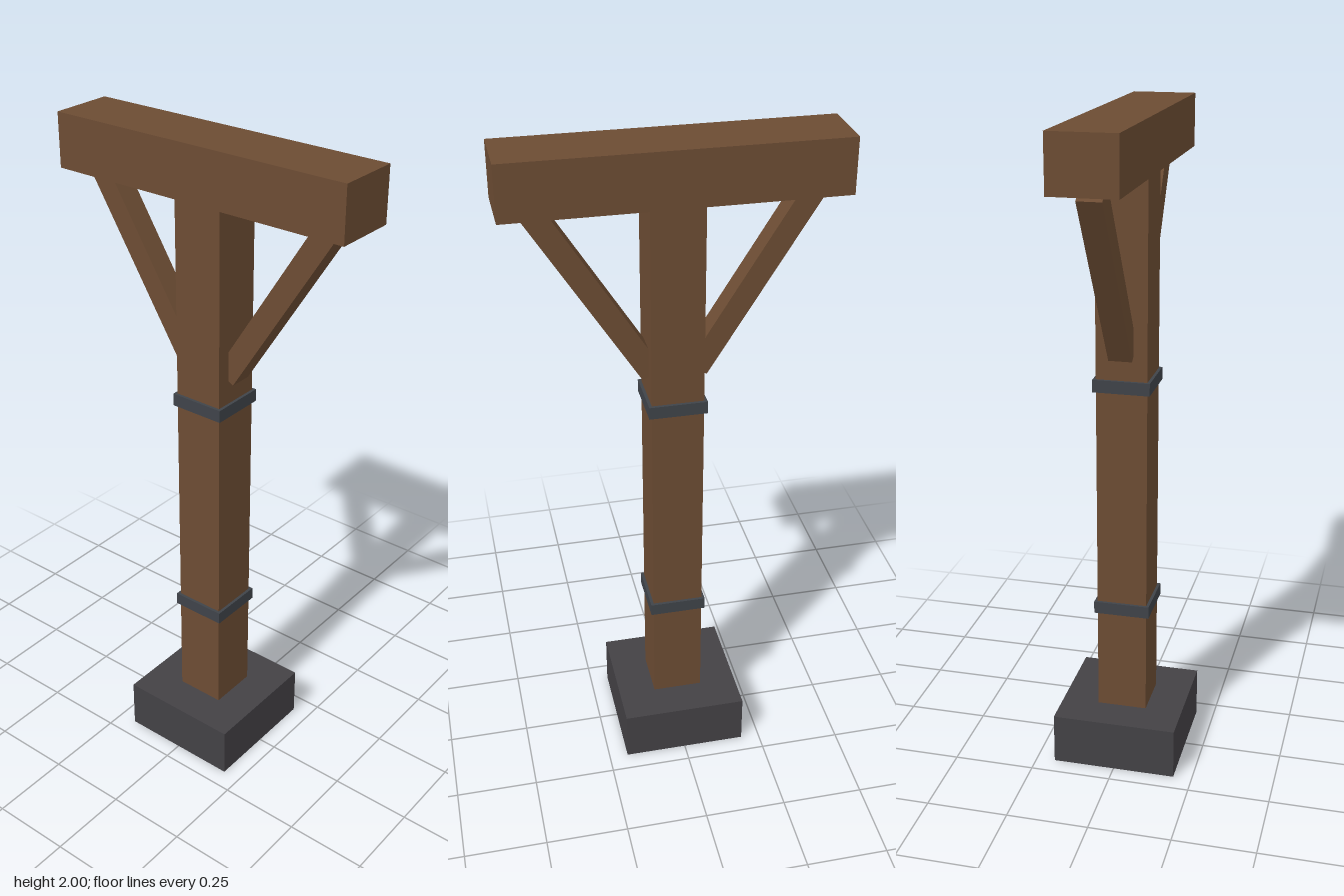
import * as THREE from 'three';

export function createModel() {
  const group = new THREE.Group();
  const wood = new THREE.MeshStandardMaterial({ color: 0x6c4c33 });
  wood.name = 'brown wood';
  const stone = new THREE.MeshStandardMaterial({ color: 0x434145 });
  stone.name = 'dark stone';
  const iron = new THREE.MeshStandardMaterial({ color: 0x3f4349 });
  iron.name = 'dark iron';

  function box(name, material, w, h, d, x, y) {
    const mesh = new THREE.Mesh(new THREE.BoxGeometry(w, h, d), material);
    mesh.name = name;
    mesh.position.set(x, y, 0);
    group.add(mesh);
    return mesh;
  }

  // Footing, upright and top beam
  box('base', stone, 0.384, 0.16, 0.384, 0, 0.08);
  box('post', wood, 0.154, 1.68, 0.154, 0, 1.0);
  box('crossbeam', wood, 0.96, 0.16, 0.192, 0, 1.92);

  // Bands around the post
  box('lowerBand', iron, 0.172, 0.038, 0.172, 0, 0.504);
  box('upperBand', iron, 0.172, 0.038, 0.172, 0, 1.224);

  // Slanted braces, mirrored
  for (const side of [1, -1]) {
    const brace = box(side > 0 ? 'leftBrace' : 'rightBrace', wood, 0.067, 0.606, 0.07, side * 0.226, 1.581);
    brace.rotation.z = -side * 0.56;
  }

  return group;
}
